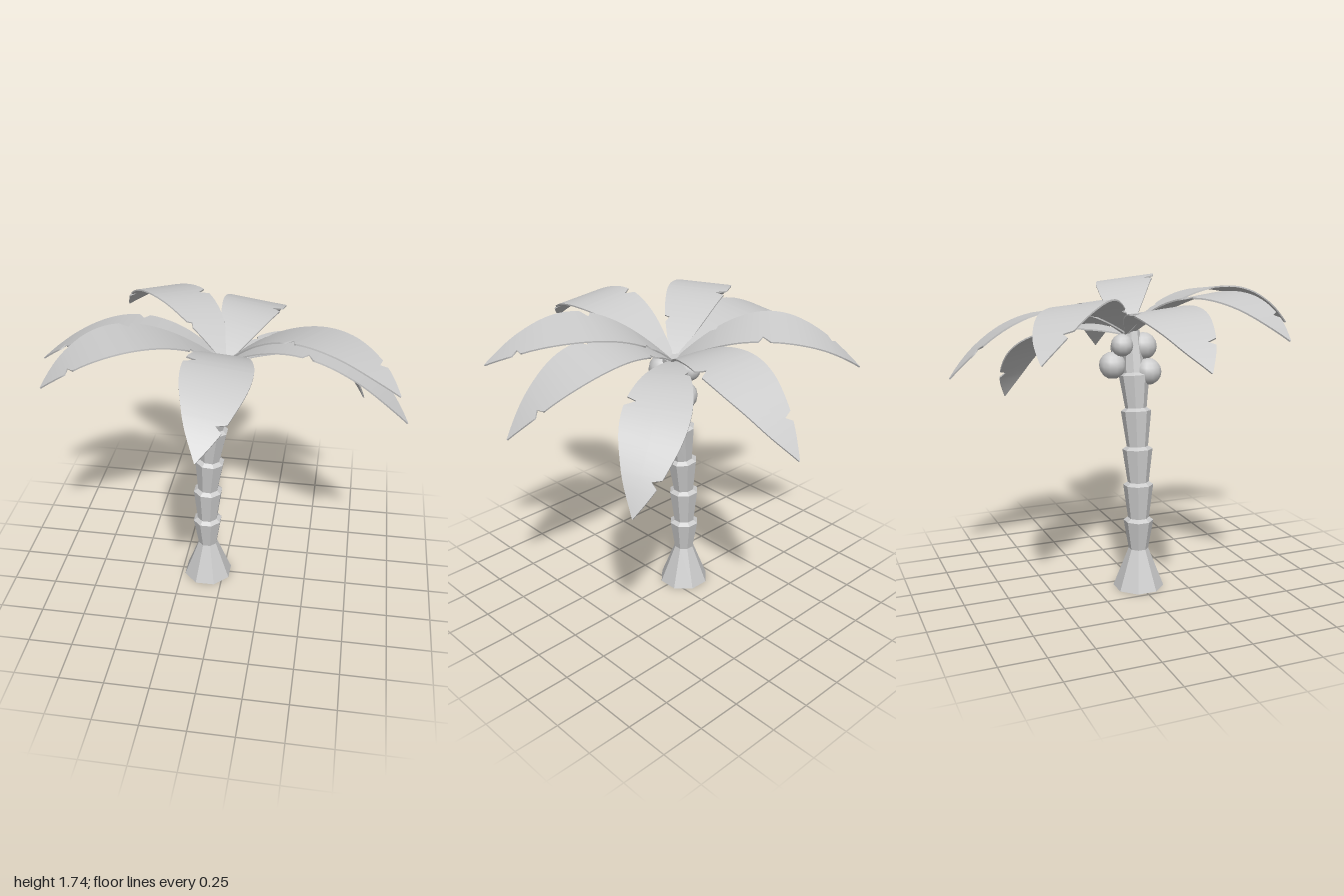
import * as THREE from 'three';

const flat = new THREE.MeshStandardMaterial({ color: 0xcccccc, flatShading: true });
const smooth = new THREE.MeshStandardMaterial({ color: 0xcccccc });

// Eight-sided trunk of stacked flaring rings, leaning towards the crown
function trunkGeometry() {
  const profile = [[0, 0], [0.145, 0], [0.056, 0.23]];
  for (const y of [0.4, 0.61, 0.815, 1.03, 1.225]) profile.push([0.085, y], [0.06, y + 0.016]);
  profile.push([0.046, 1.47], [0, 1.47]);
  const geo = new THREE.LatheGeometry(profile.map(([r, y]) => new THREE.Vector2(r, y)), 8, Math.PI / 8);
  const pos = geo.attributes.position;
  for (let i = 0; i < pos.count; i++) {
    const x = pos.getX(i), y = pos.getY(i);
    const s = Math.max(0, (y - 0.4) / 1.05);
    pos.setX(i, x - 0.095 + 0.105 * s * s);
    pos.setY(i, y - x * 0.2 * s);
  }
  geo.computeVertexNormals();
  return geo;
}

// Half width along the frond
const widthTable = new THREE.SplineCurve([
  [0, 0.02], [0.2, 0.108], [0.35, 0.15], [0.5, 0.172], [0.65, 0.162],
  [0.8, 0.118], [0.9, 0.072], [1, 0.002],
].map(([t, w]) => new THREE.Vector2(t, w))).getPoints(140);
function halfWidth(t) {
  const i = Math.max(1, widthTable.findIndex((p) => p.x >= t - 1e-6));
  const a = widthTable[i - 1], b = widthTable[i];
  return THREE.MathUtils.mapLinear(t, a.x, b.x, a.y, b.y);
}

// Torn notches: side (+1 left, -1 right), start, apex, end, depth
const notches = [
  [1, 0.18, 0.21, 0.22, 0.025],
  [-1, 0.43, 0.455, 0.49, 0.055],
  [1, 0.83, 0.845, 0.87, 0.045],
];
const stations = notches.flatMap((n) => n.slice(1, 4));
for (let i = 0; i <= 28; i++) {
  const t = i / 28;
  if (!notches.some((n) => t > n[1] - 0.005 && t < n[3] + 0.005)) stations.push(t);
}
stations.sort((a, b) => a - b);

function edge(side, t) {
  const cut = notches.find((n) => n[0] === side && n[2] === t);
  return side * (halfWidth(t) - (cut ? cut[4] : 0));
}

// Thin solid frond swept along an arch from the crown through mid to tip
const root = new THREE.Vector3(0.01, 1.45, -0.02);
const up = new THREE.Vector3(0, 1, 0);
const thickness = 0.008;
function frondGeometry(mid, tip) {
  const ctrl = mid.clone().multiplyScalar(2).addScaledVector(root, -0.5).addScaledVector(tip, -0.5);
  const path = new THREE.QuadraticBezierCurve3(root, ctrl, tip);
  const sections = stations.map((t) => {
    const p = path.getPoint(t), tangent = path.getTangent(t);
    const side = up.clone().cross(tangent).normalize();
    side.y = 0.1 * side.z - 0.12 * side.x; // the whole crown tips back and to the left
    side.normalize();
    const normal = tangent.cross(side).normalize();
    const at = (w, h) => p.clone().addScaledVector(side, w).addScaledVector(normal, h * thickness);
    const l = edge(1, t), r = edge(-1, t);
    return [at(l, 0), at(0, 0), at(r, 0), at(r, -1), at(0, -1), at(l, -1)];
  });
  // Upper face, right rim, lower face and left rim keep separate normals
  const verts = [], index = [];
  for (const strip of [[0, 1, 2], [2, 3], [3, 4, 5], [5, 0]]) {
    const n = strip.length, base = verts.length / 3;
    sections.forEach((section, i) => {
      for (const k of strip) verts.push(...section[k].toArray());
      if (!i) return;
      for (let k = 0; k < n - 1; k++) {
        const a = base + (i - 1) * n + k, b = a + n;
        index.push(a, a + 1, b, a + 1, b + 1, b);
      }
    });
  }
  const geo = new THREE.BufferGeometry();
  geo.setAttribute('position', new THREE.Float32BufferAttribute(verts, 3));
  geo.setIndex(index);
  geo.computeVertexNormals();
  return geo;
}

// Middle and tip of each frond
const fronds = [
  [[0.1, 1.58, -0.52], [0.12, 1.25, -1.0]],
  [[0.45, 1.41, -0.37], [0.77, 1.0, -0.54]],
  [[0.52, 1.59, 0.04], [0.99, 1.25, 0.14]],
  [[0.47, 1.715, 0.14], [0.92, 1.55, 0.4]],
  [[0.05, 1.69, 0.5], [0.02, 1.47, 0.995]],
  [[-0.45, 1.7, 0.26], [-0.85, 1.5, 0.49]],
  [[-0.5, 1.63, -0.02], [-1.0, 1.4, -0.01]],
  [[-0.32, 1.665, -0.41], [-0.69, 1.43, -0.73]],
];

// Coconut centres and radii
const coconuts = [
  [0.01, 1.38, 0.07, 0.077],
  [-0.05, 1.245, 0.075, 0.075],
  [-0.05, 1.4, -0.08, 0.062],
  [0.08, 1.365, -0.03, 0.066],
  [0.02, 1.28, -0.11, 0.076],
];

export function createModel() {
  const model = new THREE.Group();
  model.name = 'palmTree';
  const add = (name, geo, mat) => {
    const mesh = new THREE.Mesh(geo, mat);
    mesh.name = name;
    model.add(mesh);
    return mesh;
  };

  add('trunk', trunkGeometry(), flat);
  fronds.forEach(([mid, tip], i) => {
    add(`frond${i + 1}`, frondGeometry(new THREE.Vector3(...mid), new THREE.Vector3(...tip)), smooth);
  });
  coconuts.forEach(([x, y, z, r], i) => {
    add(`coconut${i + 1}`, new THREE.SphereGeometry(r, 12, 8), smooth).position.set(x, y, z);
  });
  return model;
}
